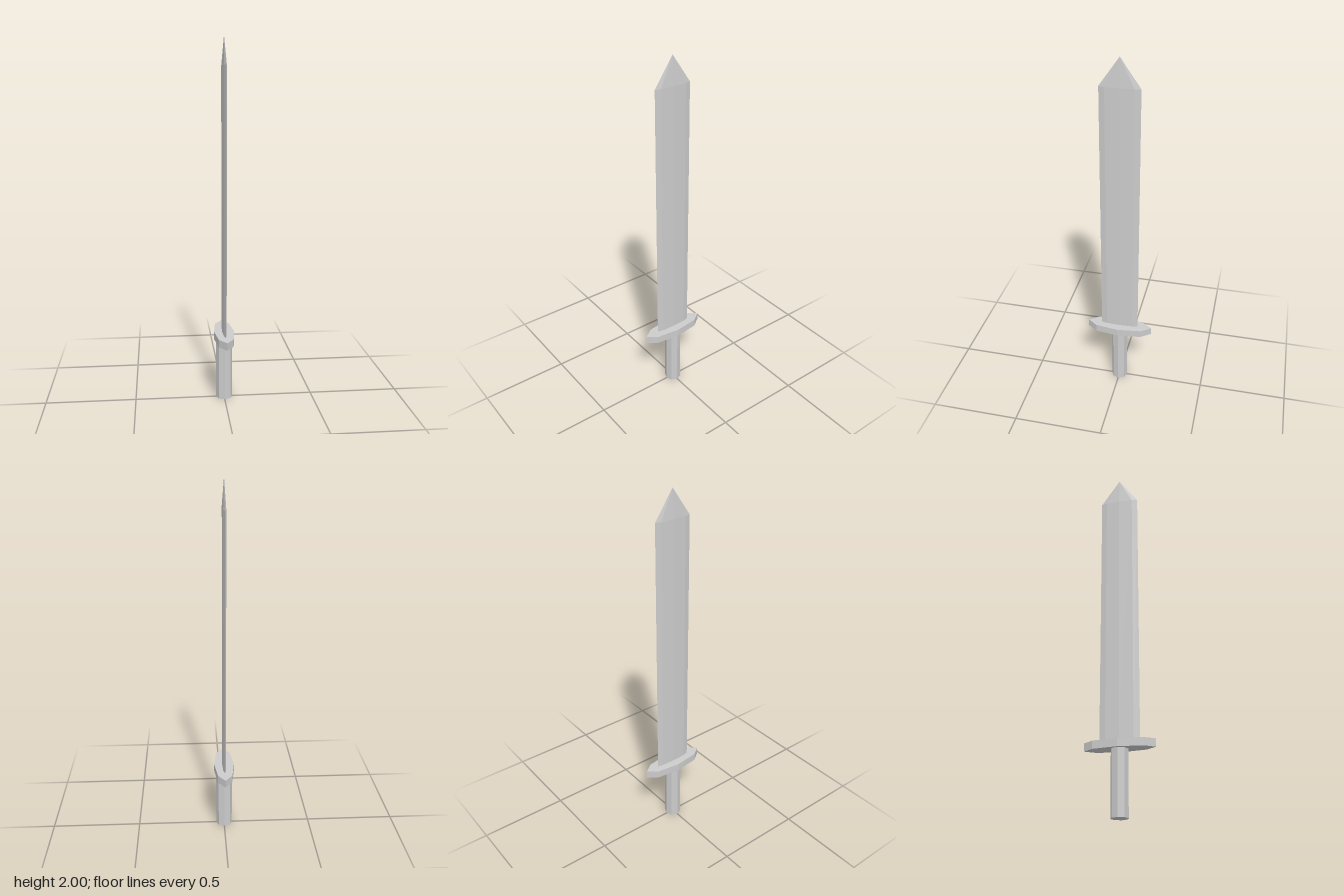
import * as THREE from 'three';

const steel = new THREE.MeshStandardMaterial({ color: 0xcccccc, flatShading: true });

// Eight-sided prism (or spike) with half-widths rx and rz, from y0 to y1
function octagon(name, rx, rz, y0, y1, { top = 1, open = false } = {}) {
  const geometry = new THREE.CylinderGeometry(top, 1, y1 - y0, 8, 1, open);
  geometry.scale(rx, 1, rz);
  geometry.translate(0, (y0 + y1) / 2, 0);
  const mesh = new THREE.Mesh(geometry, steel);
  mesh.name = name;
  return mesh;
}

export function createModel() {
  const sword = new THREE.Group();
  sword.name = 'sword';

  // Hilt: grip and flattened crossguard
  sword.add(octagon('grip', 0.046, 0.046, 0, 0.345));
  sword.add(octagon('crossguard', 0.057, 0.188, 0.345, 0.388));

  // Blade: thin body closed by a pointed tip
  const blade = new THREE.Group();
  blade.name = 'blade';
  blade.add(octagon('bladeBody', 0.011, 0.107, 0.388, 1.847, { open: true }));
  blade.add(octagon('bladeTip', 0.011, 0.107, 1.847, 2, { top: 0, open: true }));
  sword.add(blade);

  return sword;
}
